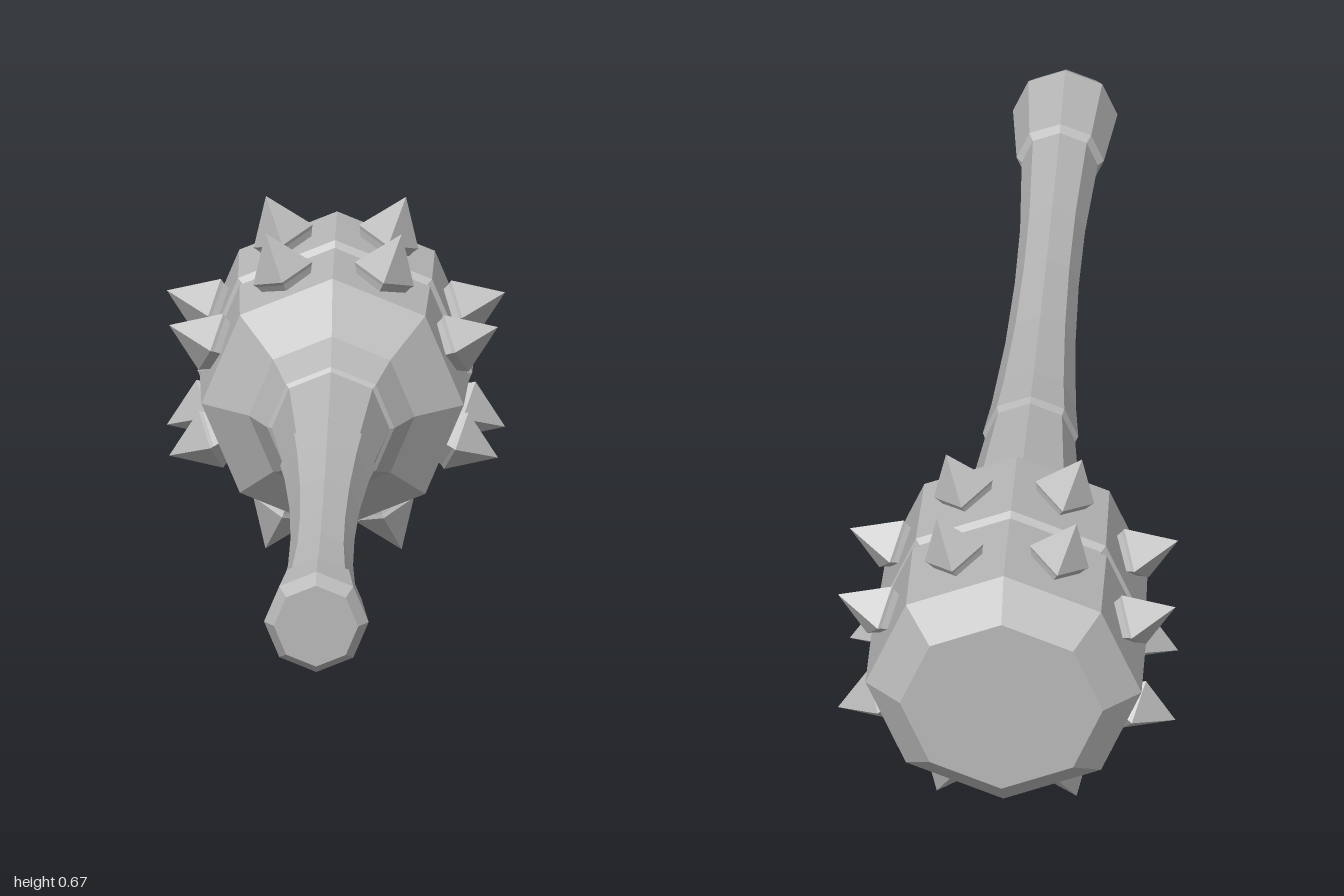
import * as THREE from 'three';

const SIDES = 8;
const AXIS_Y = 0.335;

// Flat-faceted lathe; points are [radius, height] listed from low to high
function facetedLathe(points, sides) {
  const geometry = new THREE.LatheGeometry(points.map(([r, h]) => new THREE.Vector2(r, h)), sides).toNonIndexed();
  geometry.computeVertexNormals();
  return geometry;
}

export function createModel() {
  const group = new THREE.Group();
  group.name = 'spikedMace';
  const metal = new THREE.MeshStandardMaterial({ color: 0xb8b8b8 });
  metal.name = 'grey metal';

  // Body sections along z, each sharing its end ring with the next
  const sections = {
    head: [
      [0, -1], [0.2, -1], [0.272, -0.935], [0.27, -0.745], [0.253, -0.735],
      [0.253, -0.718], [0.265, -0.708], [0.258, -0.52], [0.163, -0.44],
    ],
    collar: [[0.163, -0.44], [0.125, -0.36], [0.116, -0.355]],
    handle: [
      [0.116, -0.355], [0.089, -0.115], [0.094, -0.098], [0.083, 0], [0.069, 0.2],
      [0.063, 0.4], [0.064, 0.58], [0.075, 0.8],
    ],
    pommel: [[0.075, 0.8], [0.086, 0.815], [0.103, 0.97], [0.083, 1], [0, 1]],
  };
  for (const [name, points] of Object.entries(sections)) {
    const mesh = new THREE.Mesh(facetedLathe(points, SIDES).rotateX(Math.PI / 2), metal);
    mesh.name = name;
    mesh.position.y = AXIS_Y;
    group.add(mesh);
  }

  // Two rings of pyramid spikes, one spike on each side of the head
  const spike = facetedLathe([[0.045, 0.235], [0.058, 0.264], [0.063, 0.271], [0, 0.36]], 4);
  for (const [row, z, sink] of [['rear', -0.835, 0], ['front', -0.61, 0.01]]) {
    const ring = new THREE.Group();
    ring.name = row + 'SpikeRing';
    ring.position.set(0, AXIS_Y, z);
    for (let i = 0; i < SIDES; i++) {
      const angle = ((i + 0.5) / SIDES) * Math.PI * 2;
      const mesh = new THREE.Mesh(spike, metal);
      mesh.name = 'spike';
      mesh.rotation.z = angle;
      mesh.position.set(Math.sin(angle) * sink, -Math.cos(angle) * sink, 0);
      ring.add(mesh);
    }
    group.add(ring);
  }
  return group;
}
